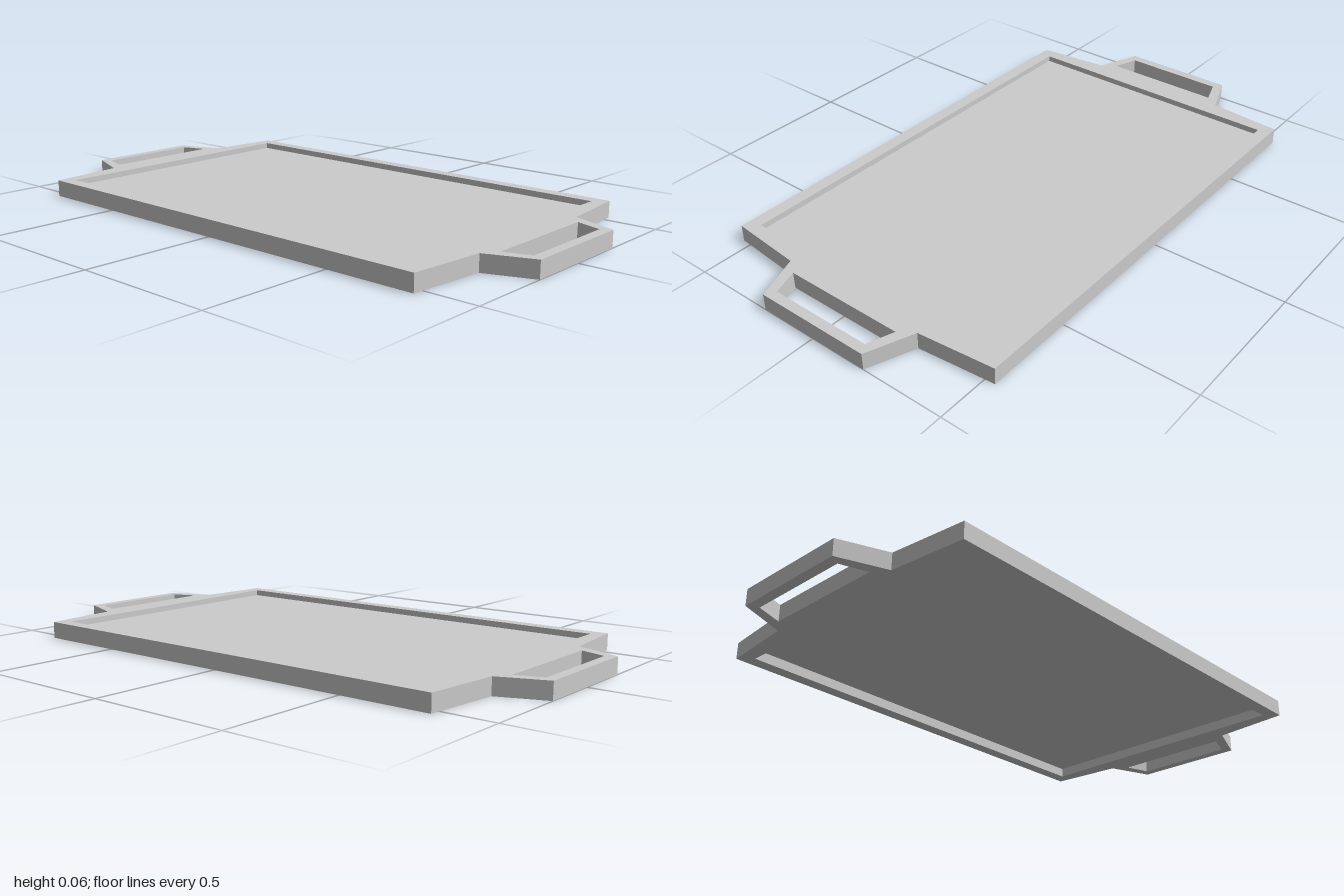
import * as THREE from 'three';

const HEIGHT = 0.058;
const INNER_X = 0.773, INNER_Z = 0.489;
const FLOOR_BOTTOM = 0.034, FLOOR_TOP = 0.037;

const toPoints = (pairs) => pairs.map(([x, y]) => new THREE.Vector2(x, y));

// Closed counter-clockwise outline from one quadrant, mirrored across both axes
function mirrorQuadrant(quarter) {
  const top = [...quarter, ...quarter.map(([x, y]) => [-x, y]).reverse()];
  const bottom = top.map(([x, y]) => [x, -y]).reverse();
  return toPoints([...top, ...bottom]);
}

export function createModel() {
  const group = new THREE.Group();
  group.name = 'servingTray';
  const material = new THREE.MeshStandardMaterial({ color: 0xcccccc, flatShading: true });

  // Rim and handles: one flat outline with a tray opening and two grip slots
  const outline = new THREE.Shape(
    mirrorQuadrant([[1, 0.208], [0.84, 0.269], [0.815, 0.535]])
  );
  outline.holes.push(new THREE.Path(mirrorQuadrant([[INNER_X, INNER_Z]])));
  for (const side of [1, -1]) {
    const slot = [[0.875, 0.217], [0.965, 0.186], [0.965, -0.186], [0.875, -0.217]];
    outline.holes.push(new THREE.Path(toPoints(slot.map(([x, y]) => [side * x, y]))));
  }
  const rimGeometry = new THREE.ExtrudeGeometry(outline, { depth: HEIGHT, bevelEnabled: false });
  rimGeometry.rotateX(-Math.PI / 2);
  const rim = new THREE.Mesh(rimGeometry, material);
  rim.name = 'rimWithHandles';
  group.add(rim);

  // Thin floor, recessed from both the top and the underside of the rim
  const floor = new THREE.Mesh(
    new THREE.BoxGeometry(INNER_X * 2, FLOOR_TOP - FLOOR_BOTTOM, INNER_Z * 2),
    material
  );
  floor.position.y = (FLOOR_TOP + FLOOR_BOTTOM) / 2;
  floor.name = 'trayFloor';
  group.add(floor);

  return group;
}
